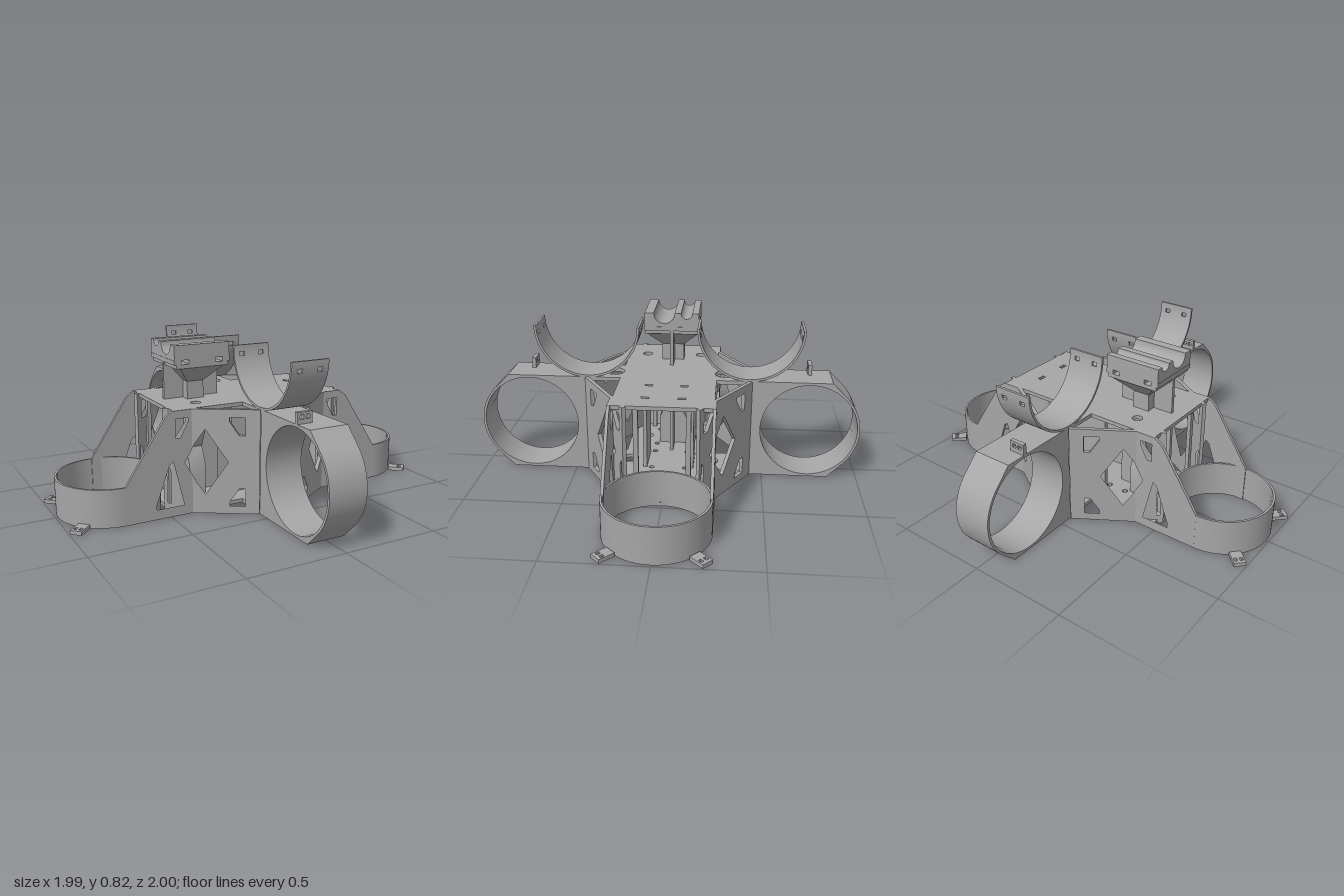
import * as THREE from 'three';
import { toCreasedNormals } from 'three/addons/utils/BufferGeometryUtils.js';

const grey = new THREE.MeshStandardMaterial({ color: 0xa6a6a6 });
grey.name = 'plain grey';

export function createModel() {
  const model = new THREE.Group();
  model.name = 'thrusterFrame';

  const add = (name, geo, x = 0, y = 0, z = 0, parent = model) => {
    const m = new THREE.Mesh(geo, grey);
    m.name = name;
    m.position.set(x, y, z);
    parent.add(m);
    return m;
  };
  const box = (name, w, h, d, x, y, z) => add(name, new THREE.BoxGeometry(w, h, d), x, y, z);
  const poly = (pts) => new THREE.Shape(pts.map(([a, b]) => new THREE.Vector2(a, b)));
  const circle = (x, y, r) => new THREE.Path().absarc(x, y, r, 0, Math.PI * 2, true);
  const slot = (x, y, w, h) => poly([[x - w / 2, y - h / 2], [x + w / 2, y - h / 2], [x + w / 2, y + h / 2], [x - w / 2, y + h / 2]]);

  // Plates centred on their own plane: 'z' upright facing z, 'x' upright facing x (shape is z,y), 'y' lying flat (shape is x,z)
  const plate = (shape, depth, axis, holes = []) => {
    shape.holes.push(...holes);
    let g = new THREE.ExtrudeGeometry(shape, { depth, bevelEnabled: false, curveSegments: 40 });
    g.translate(0, 0, -depth / 2);
    if (axis === 'x') g.rotateY(-Math.PI / 2);
    if (axis === 'y') g.rotateX(Math.PI / 2);
    return toCreasedNormals(g, 0.5);
  };

  // Flat decks, cross-shaped, with mounting holes
  const deckShape = (e) => poly([
    [-0.48, -0.25], [-0.1, -0.25], [-0.1, -e], [0.1, -e], [0.1, -0.25], [0.48, -0.25],
    [0.48, 0.25], [0.1, 0.25], [0.1, e], [-0.1, e], [-0.1, 0.25], [-0.48, 0.25]]);
  const topHoles = [], bottomHoles = [];
  for (const s of [-1, 1]) {
    topHoles.push(circle(-0.31, s * 0.15, 0.026), circle(0, s * 0.29, 0.05));
    bottomHoles.push(circle(-0.31, s * 0.15, 0.026), circle(0, s * 0.22, 0.045));
    for (const x of [0.195, 0.366]) topHoles.push(slot(x, s * 0.09, 0.02, 0.04));
    for (const x of [-0.4, -0.2, -0.1, 0.1, 0.2, 0.31, 0.4]) bottomHoles.push(circle(x, s * 0.09, 0.014));
  }
  add('topDeck', plate(deckShape(0.435), 0.02, 'y', topHoles), 0, 0.52, 0);
  add('bottomDeck', plate(deckShape(0.435), 0.02, 'y', bottomHoles), 0, 0.01, 0);

  // Window cut-outs shared by the braces, in x and y
  const triangles = [];
  for (const s of [-1, 1]) {
    const y = (v) => 0.265 + s * v;
    triangles.push([[0.16, y(0.225)], [0.225, y(0.225)], [0.225, y(0.205)], [0.185, y(0.135)], [0.16, y(0.135)]]);
  }
  const upperWindow = [[0.47, 0.49], [0.405, 0.49], [0.405, 0.47], [0.445, 0.395], [0.47, 0.395]];
  const diamond = [[0.23, 0.265], [0.325, 0.1], [0.425, 0.265], [0.325, 0.43]];

  for (const sx of [-1, 1]) {
    // Horizontal duct at each end
    const ring = new THREE.Shape().absarc(0, 0, 0.26, 0, Math.PI * 2);
    add('sideDuct', plate(ring, 0.19, 'y', [circle(0, 0, 0.249)]), sx * 0.728, 0.095, 0);

    for (const sz of [-1, 1]) {
      // Diagonal brace between the upright duct and the side duct
      const len = Math.hypot(0.4, 0.25), k = len / 0.4;
      const toBrace = (pts) => poly(pts.map(([x, y]) => [sx * (x - 0.3) * k, y]));
      const brace = plate(toBrace([[0.1, 0], [0.5, 0], [0.5, 0.53], [0.1, 0.53]]), 0.02, 'z',
        [...triangles, upperWindow, diamond, [[0.47, 0.05], [0.485, 0.05], [0.485, 0.25], [0.47, 0.22]]].map(toBrace));
      add('diagonalBrace', brace, sx * 0.3, 0, sz * 0.301).rotation.y = sx * sz * Math.atan2(0.25, 0.4);

      // Sloping cheek tangent to the side duct
      const flip = (pts) => poly(pts.map(([x, y]) => [sx * x, y]));
      add('slopingCheek', plate(
        flip([[0.37, 0], [0.73, 0], [0.73, 0.19], [0.525, 0.5], [0.485, 0.53], [0.37, 0.53], [0.37, 0.355], [0.425, 0.265], [0.37, 0.175]]),
        0.016, 'z', [upperWindow, [[0.43, 0.05], [0.575, 0.05], [0.575, 0.075], [0.505, 0.265], [0.485, 0.28]]].map(flip)),
        0, 0, sz * 0.252);

      // Drilled lug on the duct rim
      const lug = plate(slot(0, 0, 0.085, 0.06), 0.02, 'y', [slot(0.015, 0.014, 0.02, 0.015), slot(0.015, -0.014, 0.02, 0.015)]);
      add('ductLug', lug, sx * 0.945, 0.01, sz * 0.217).rotation.y = -Math.atan2(sz, sx);

      // Uprights framing the open ends
      box('endUpright', 0.02, 0.49, 0.025, sx * 0.45, 0.265, sz * 0.128);
    }
  }

  for (const sz of [-1, 1]) {
    // Upright duct with a flat foot and top and a chamfered nose
    const c = 0.735, r = 0.265;
    const duct = new THREE.Shape();
    duct.moveTo(0.43, 0);
    duct.lineTo(c + r * (Math.SQRT2 - 1), 0);
    duct.absarc(c, r, r, -Math.PI / 4, Math.PI / 4);
    duct.lineTo(c + r * (Math.SQRT2 - 1), 2 * r);
    duct.lineTo(0.43, 2 * r);
    const ductMesh = add('uprightDuct', plate(duct, 0.2, 'x', [circle(c, r, 0.252)]));
    if (sz < 0) ductMesh.rotation.y = Math.PI;

    // Drilled tab on top of the duct
    add('ductTab', plate(slot(0, 0, 0.08, 0.056), 0.02, 'z',
      [slot(-0.016, 0.005, 0.02, 0.02), slot(0.016, 0.005, 0.02, 0.02)]), -0.06, 0.557, sz * 0.735);

    // Half-round cradle, its tips pierced by slots
    const cradle = new THREE.Group();
    cradle.name = 'cradle';
    cradle.position.set(0, 0.8, sz * 0.42);
    model.add(cradle);
    const arc = (a0, a1, x0, x1) => {
      const s = new THREE.Shape();
      s.absarc(0, 0, 0.272, a0, a1, false);
      s.absarc(0, 0, 0.26, a1, a0, true);
      add('cradleShell', plate(s, x1 - x0, 'x'), (x0 + x1) / 2, 0, 0, cradle);
    };
    const p = Math.PI;
    arc(p + 0.21, 2 * p - 0.21, -0.1, 0.1);
    for (const a of [p, 2 * p - 0.13]) arc(a, a + 0.13, -0.1, 0.1);
    for (const a of [p + 0.13, 2 * p - 0.21])
      for (const [x0, x1] of [[-0.1, -0.068], [-0.04, 0.04], [0.068, 0.1]]) arc(a, a + 0.08, x0, x1);

    box('innerWall', 0.2, 0.49, 0.02, 0, 0.265, sz * 0.125);
  }

  // Mast: web, post and waisted support below the deck
  const mx = -0.268;
  box('mastWeb', 0.3, 0.71, 0.018, mx, 0.375, 0);
  box('mastPost', 0.09, 0.12, 0.12, mx, 0.58, 0);
  add('waistedSupport', plate(poly([[-0.075, 0.02], [0.075, 0.02], [0.075, 0.18], [0.035, 0.265], [0.075, 0.35],
    [0.075, 0.51], [-0.075, 0.51], [-0.075, 0.35], [-0.035, 0.265], [-0.075, 0.18]]), 0.09, 'x'), mx, 0, 0);

  // Flared neck, a box whose lower corners are drawn in
  const neck = new THREE.BoxGeometry(0.24, 0.085, 0.29);
  const pos = neck.attributes.position;
  for (let i = 0; i < pos.count; i++)
    if (pos.getY(i) < 0) { pos.setX(i, pos.getX(i) * 0.375); pos.setZ(i, pos.getZ(i) * 0.414); }
  neck.computeVertexNormals();
  add('flaredNeck', neck, mx, 0.6625, 0);

  // Head with slots below and two grooves on top
  box('headBase', 0.28, 0.02, 0.29, mx, 0.714, 0);
  for (const [x, w] of [[-0.4, 0.04], [mx, 0.144], [-0.136, 0.04]]) box('headRib', w, 0.022, 0.29, x, 0.735, 0);
  const head = new THREE.Shape();
  head.moveTo(-0.145, 0.746);
  head.lineTo(0.145, 0.746);
  head.lineTo(0.145, 0.82);
  head.lineTo(0.1, 0.82);
  head.absarc(0.04, 0.82, 0.056, 0, -Math.PI, true);
  head.lineTo(-0.05, 0.82);
  head.absarc(-0.08, 0.82, 0.03, 0, -Math.PI, true);
  head.lineTo(-0.145, 0.82);
  add('groovedHead', plate(head, 0.3, 'x'), mx, 0, 0);

  return model;
}
